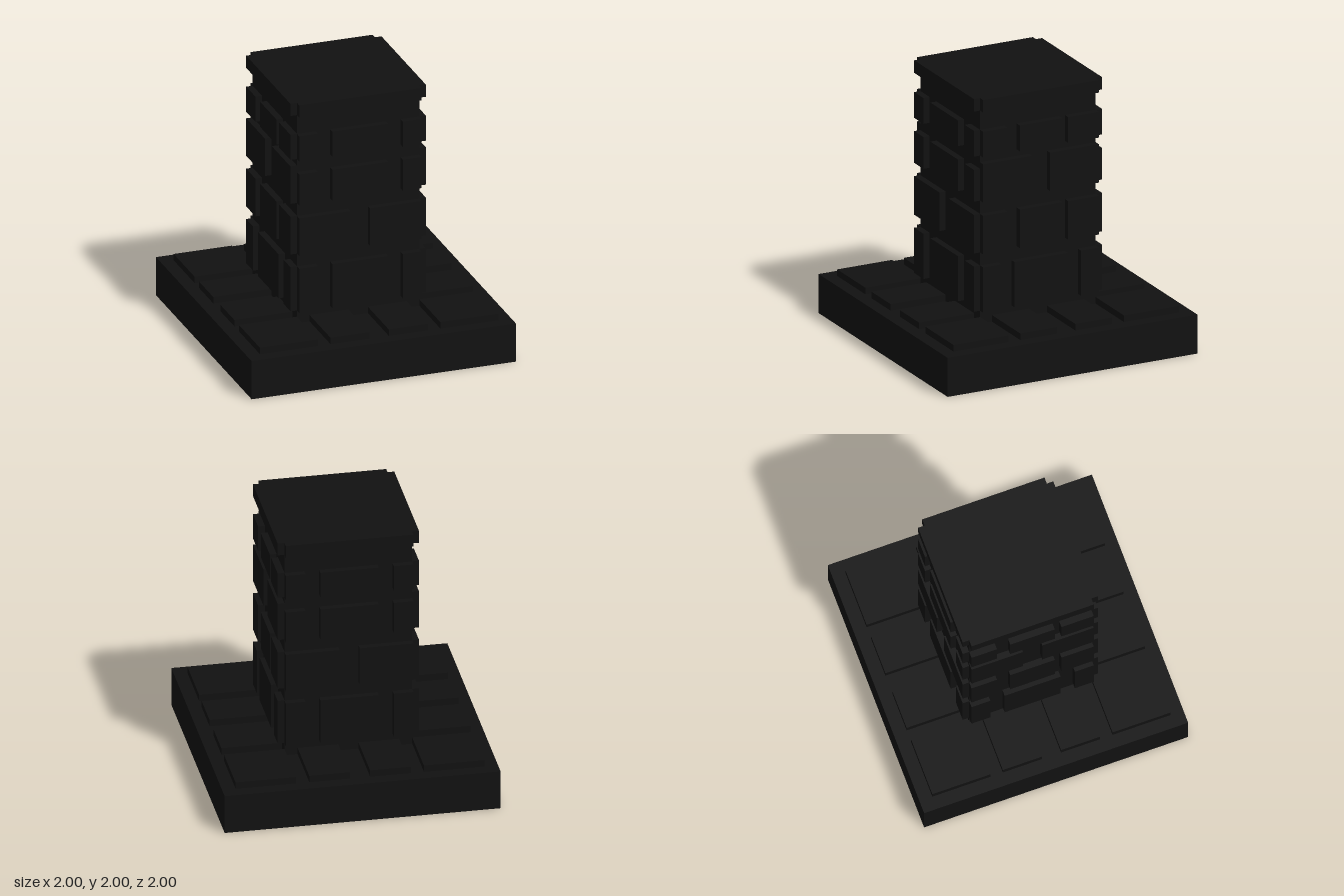
import * as THREE from 'three';

const BASE_TOP = 0.295, TILE_TOP = 0.345, HALF = 0.463, OUT = 0.512;

export function createModel() {
  const model = new THREE.Group();
  model.name = 'stonePillar';
  const stone = new THREE.MeshStandardMaterial({ color: 0x111111, flatShading: true });

  // Box given by its limits on each axis
  function block(name, parent, [x0, x1], [y0, y1], [z0, z1]) {
    const mesh = new THREE.Mesh(new THREE.BoxGeometry(x1 - x0, y1 - y0, z1 - z0), stone);
    mesh.position.set((x0 + x1) / 2, (y0 + y1) / 2, (z0 + z1) / 2);
    mesh.name = name;
    parent.add(mesh);
  }

  // Base slab and column core
  block('baseSlab', model, [-1, 1], [0, BASE_TOP], [-1, 1]);
  block('columnCore', model, [-HALF, HALF], [BASE_TOP, 2], [-HALF, HALF]);

  // Brick courses: height range, then the horizontal spans of the bricks
  const thirds = [[-HALF, -0.32], [-0.212, 0.212], [0.32, HALF]];
  const halves = [[-HALF, -0.073], [0.073, HALF]];
  const uneven = [[-HALF, -0.27], [-0.17, 0.168], [0.218, HALF]];
  const frontCourses = [
    [[0.393, 0.735], thirds],
    [[0.833, 1.125], halves],
    [[1.225, 1.465], thirds],
    [[1.565, 1.76], thirds],
  ];
  const sideCourses = [
    [[0.393, 0.735], thirds],
    [[0.833, 1.125], uneven],
    [[1.225, 1.515], halves],
    [[1.565, 1.76], uneven],
  ];

  // Each side is built facing +z, then turned into place
  ['front', 'left', 'back', 'right'].forEach((side, i) => {
    const group = new THREE.Group();
    group.name = side + 'Side';
    group.rotation.y = i * Math.PI / 2;
    model.add(group);

    for (const [height, spans] of i % 2 ? sideCourses : frontCourses)
      for (const span of spans) block('brick', group, span, height, [HALF, OUT]);

    // Cap plate along the top edge
    block('capPlate', group, [-HALF, HALF], [1.905, 2], [HALF, OUT]);

    // Paving: two middle tiles and one corner tile
    for (const span of [[-0.368, -0.073], [0.073, 0.368], [HALF, 0.902]])
      block('pavingTile', group, span, [BASE_TOP, TILE_TOP], [HALF, 0.902]);
  });

  return model;
}
